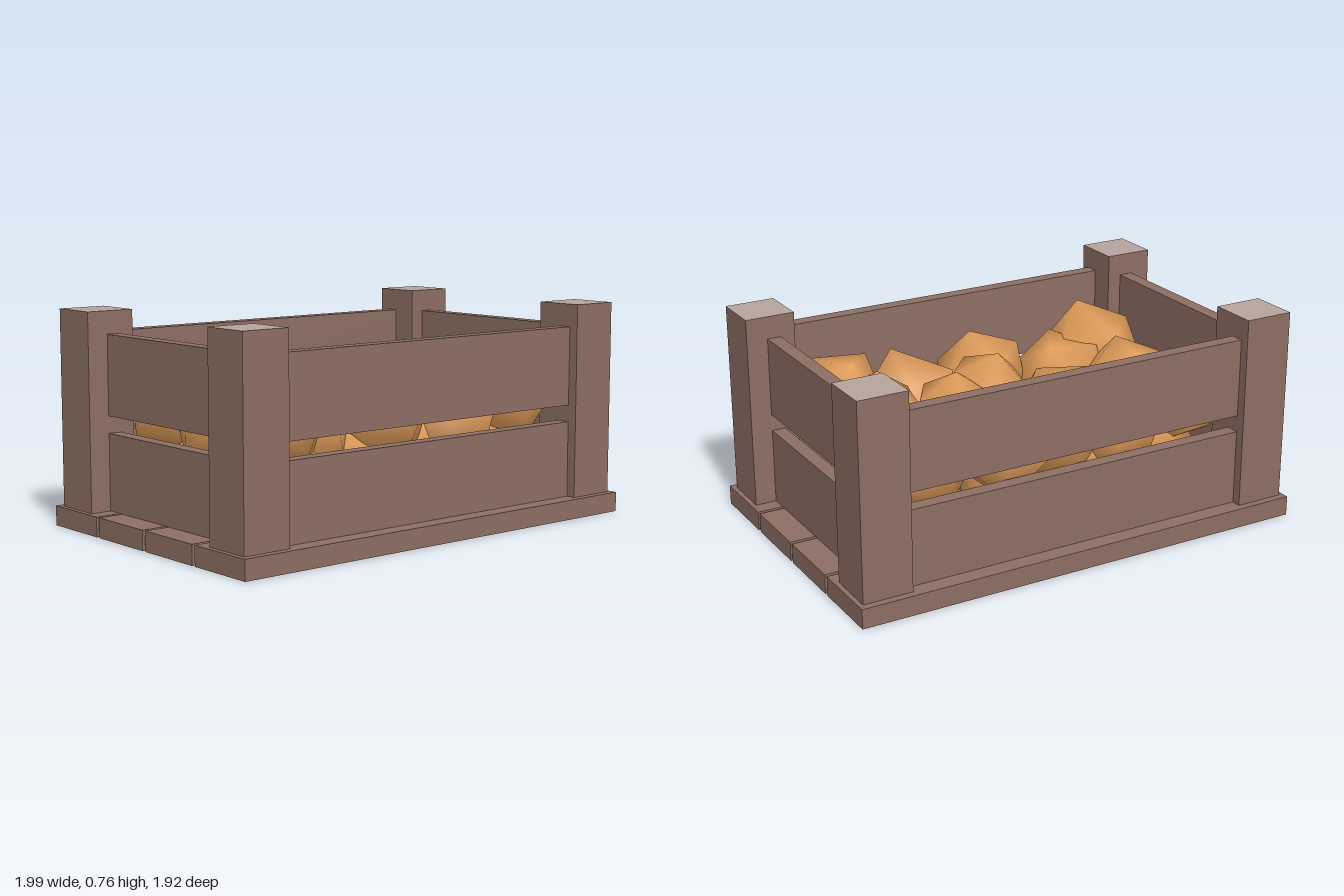
import * as THREE from 'three';
import { mergeVertices } from 'three/addons/utils/BufferGeometryUtils.js';

const material = (name, color) => {
  const m = new THREE.MeshStandardMaterial({ color });
  m.name = name;
  return m;
};

// Small seeded random generator
function seeded(seed) {
  let s = seed;
  return () => {
    s = (s * 16807) % 2147483647;
    return s / 2147483647;
  };
}

export function createModel() {
  const wood = material('brown wood', 0x8d6e63);
  const endGrain = material('pale end grain', 0xb5a49d);
  const skin = material('potato skin', 0xdf9b58);

  const model = new THREE.Group();
  model.name = 'potatoCrate';
  const crate = new THREE.Group();
  crate.name = 'crate';
  crate.rotation.y = THREE.MathUtils.degToRad(40);
  model.add(crate);

  const box = (name, w, h, d, x, y, z, mat = wood) => {
    const mesh = new THREE.Mesh(new THREE.BoxGeometry(w, h, d), mat);
    mesh.name = name;
    mesh.position.set(x, y, z);
    crate.add(mesh);
  };

  // Four floor boards with narrow gaps
  const pitch = 0.277;
  for (let i = 0; i < 4; i++) {
    box('floorBoard', 1.686, 0.07, pitch - 0.015, 0, 0.035, (i - 1.5) * pitch);
  }

  // Corner posts with pale cut tops
  const postMats = [wood, wood, endGrain, wood, wood, wood];
  for (const sx of [-1, 1]) {
    for (const sz of [-1, 1]) {
      box('cornerPost', 0.178, 0.69, 0.178, sx * 0.737, 0.415, sz * 0.431, postMats);
    }
  }

  // Two rows of side planks between the posts
  for (const [low, high] of [[0.07, 0.34], [0.4, 0.68]]) {
    const h = high - low;
    const y = (low + high) / 2;
    for (const s of [-1, 1]) {
      box('longPlank', 1.3, h, 0.05, 0, y, s * 0.46);
      box('shortPlank', 0.05, h, 0.69, s * 0.725, y, 0);
    }
  }

  // Potatoes: lumpy, smooth-shaded icosahedra
  const random = seeded(4217);
  const potatoes = new THREE.Group();
  potatoes.name = 'potatoes';
  model.add(potatoes);

  function addPotato(x, y, z, r) {
    const geo = new THREE.IcosahedronGeometry(r, 0);
    geo.deleteAttribute('normal');
    geo.deleteAttribute('uv');
    const lump = mergeVertices(geo, 1e-4);
    lump.rotateX(random() * 6);
    lump.rotateY(random() * 6);
    const p = lump.attributes.position;
    for (let i = 0; i < p.count; i++) {
      const k = 0.92 + random() * 0.22;
      p.setXYZ(i, p.getX(i) * k, p.getY(i) * k, p.getZ(i) * k);
    }
    lump.computeVertexNormals();
    const mesh = new THREE.Mesh(lump, skin);
    mesh.name = 'potato';
    mesh.position.set(x, y, z);
    potatoes.add(mesh);
  }

  // Upper layer: x, y, z, radius
  const heap = [
    [0.22, 0.4, -0.48, 0.2], [-0.04, 0.41, -0.35, 0.18],
    [-0.2, 0.42, -0.19, 0.17], [-0.39, 0.4, -0.04, 0.18],
    [-0.58, 0.42, 0.13, 0.16], [-0.18, 0.38, 0.06, 0.17],
    [0.07, 0.44, -0.01, 0.16], [0.15, 0.45, -0.21, 0.15],
    [0.41, 0.42, -0.28, 0.17], [0.36, 0.36, 0.01, 0.2],
    [0.58, 0.43, -0.11, 0.17], [-0.39, 0.4, 0.29, 0.18],
    [-0.13, 0.39, 0.33, 0.18], [0.14, 0.42, 0.23, 0.17],
    [-0.23, 0.43, 0.5, 0.2],
  ];
  for (const q of heap) addPotato(...q);

  // Lower layer, laid out along the crate
  const c = Math.cos(crate.rotation.y);
  const s = Math.sin(crate.rotation.y);
  for (const u of [-0.45, -0.15, 0.15, 0.45]) {
    for (const v of [-0.2, 0.2]) {
      addPotato(u * c + v * s, 0.25, -u * s + v * c, 0.16);
    }
  }

  return model;
}
